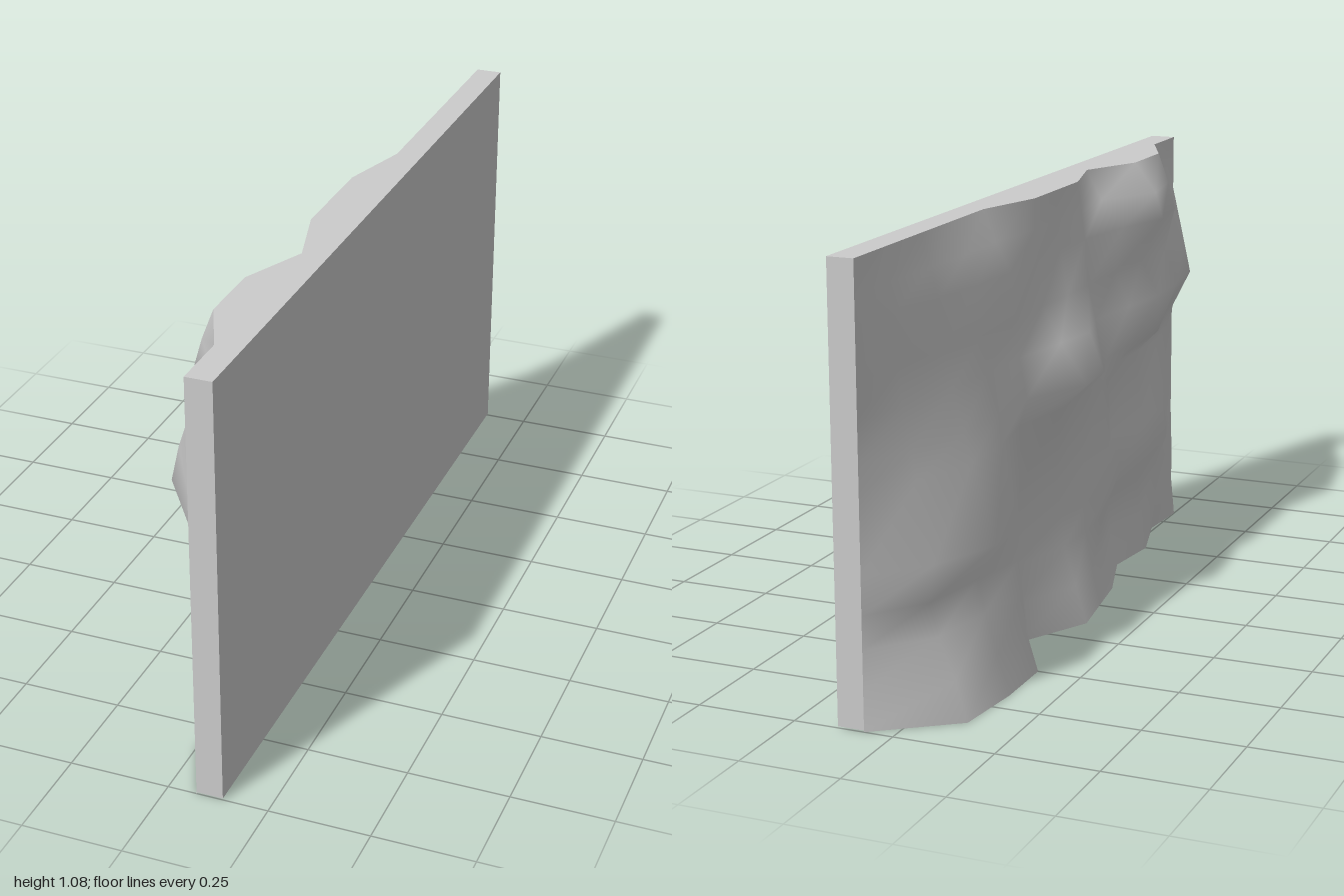
import * as THREE from 'three';

const BACK = 0.072, HALF = 1;
// column positions along z, ends lying on the slab
const columns = [-HALF, -0.86, -0.67, -0.5, -0.33, -0.14, 0, 0.14, 0.33, 0.5, 0.68, 0.84, HALF];
// depths in hundredths at the inner columns, from bottom to top
const profiles = [
  [0.004, [-12, -14, -14, -2, -12, -10, -8, -2, -4, 1, 0]],
  [0.1, [-9, -11, -11, -1, -9, -8, -5, 0, -2, 0, 1]],
  [0.2, [-5, -8, -10, 0, -6, -6, -5, 1, -1, 0, 1]],
  [0.28, [-3, -6, -9, 0, -5, -6, -7, -3, -5, -3, 2]],
  [0.37, [-4, -11, -9, 0, -4, -5, -7, 0, -3, -2, 4]],
  [0.56, [0, -5, -5, -2, -5, -5, -5, 1, 0, 0, 3]],
  [0.63, [1, -3, -4, -4, -12, -11, -6, -6, -7, -1, 1]],
  [0.73, [3, 0, -1, -2, -5, -7, -3, -5, -7, -6, -4]],
  [0.82, [4, 2, 0, -1, 0, -1, -1, -1, -2, -2, -2]],
  [0.94, [5, 3, 1, 0, 1, 1, 0, -3, -8, -5, 2]],
  [1.01, [6, 5, 4, 4, 2, 2, 1, 3, -6, -3, 7]],
  [1.088, [7.2, 7.2, 7.2, 7.2, 2, 2, 2, 7.2, 0, 0, 7.2]],
];

// each profile becomes a row of points from z = -1 to z = 1
function row([y, depths]) {
  const xs = [BACK, ...depths.map((d) => d / 100), BACK];
  return xs.map((x, i) => new THREE.Vector3(x, y, columns[i]));
}

// smooth surface through rows of points
function loft(rows) {
  const n = rows[0].length, index = [];
  for (let j = 0; j < rows.length - 1; j++) {
    for (let i = 0; i < n - 1; i++) {
      const a = j * n + i, b = a + 1, c = a + n, d = c + 1;
      index.push(a, b, d, a, d, c);
    }
  }
  const geometry = new THREE.BufferGeometry().setFromPoints(rows.flat());
  geometry.setIndex(index);
  geometry.computeVertexNormals();
  return geometry;
}

export function createModel() {
  const group = new THREE.Group();
  group.name = 'rockWallPanel';
  const solid = new THREE.MeshStandardMaterial({ color: 0xcccccc });
  const thin = new THREE.MeshStandardMaterial({ color: 0xcccccc, side: THREE.DoubleSide });
  const add = (name, geometry, material) => {
    const mesh = new THREE.Mesh(geometry, material);
    mesh.name = name;
    group.add(mesh);
    return mesh;
  };

  // flat backing slab
  add('backingSlab', new THREE.BoxGeometry(0.066, 1.08, 2 * HALF), solid).position.set(0.105, 0.548, 0);

  // uneven rock face
  const rows = profiles.map(row);
  add('rockFace', loft(rows), thin);

  // flat caps joining the rock face to the slab
  const toSlab = (points) => points.map((p) => new THREE.Vector3(BACK, p.y, p.z));
  const top = rows[rows.length - 1], bottom = rows[0];
  add('topCap', loft([top, toSlab(top)]), thin);
  add('bottomCap', loft([toSlab(bottom), bottom]), thin);

  return group;
}
